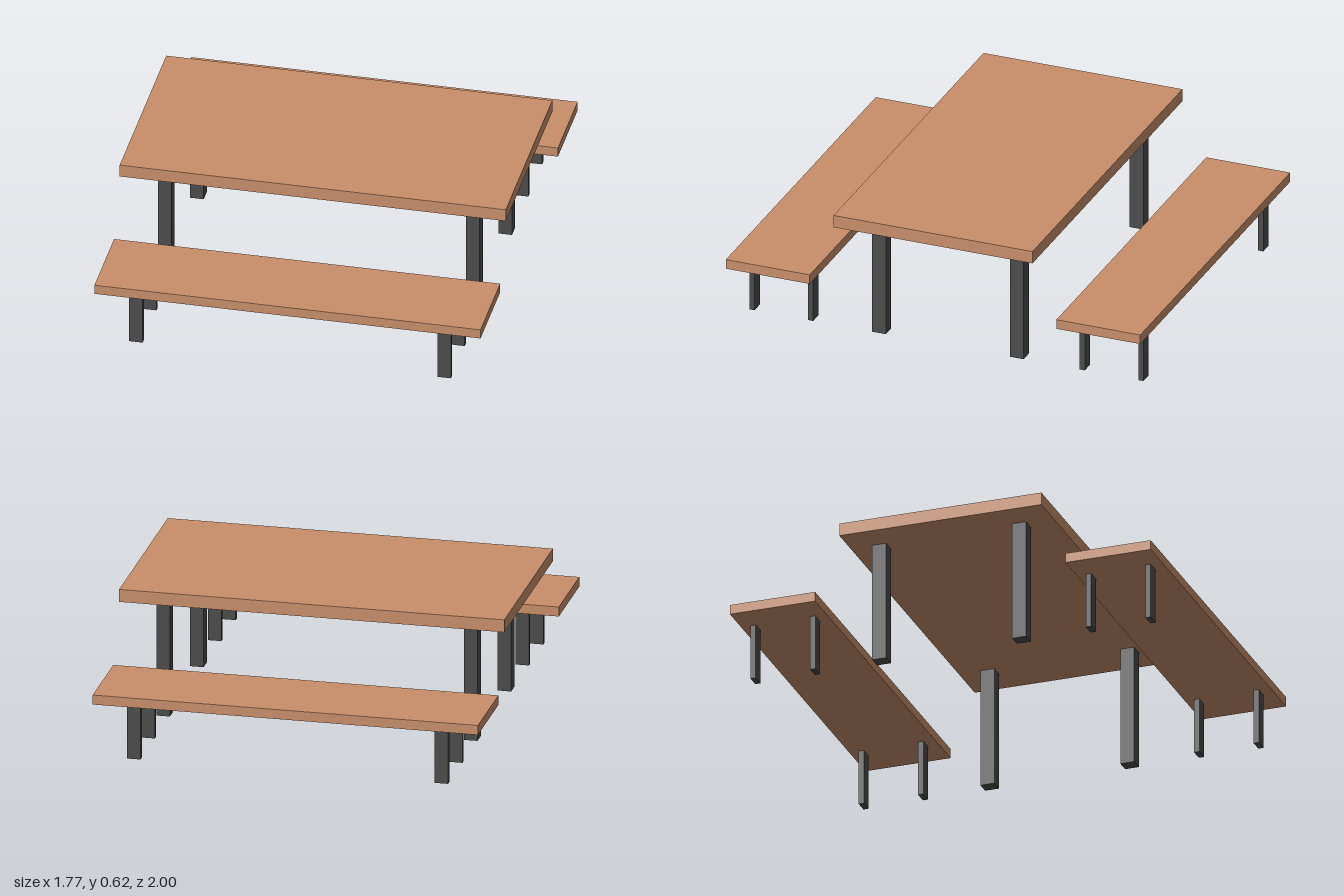
import * as THREE from 'three';

const wood = new THREE.MeshStandardMaterial({ color: 0xc98f6b });
const metal = new THREE.MeshStandardMaterial({ color: 0x4c4c4c });

// Box given by its extents: width, depth, bottom and top heights, centre x and z
function slab(name, material, w, d, y0, y1, x, z) {
  const mesh = new THREE.Mesh(new THREE.BoxGeometry(w, y1 - y0, d), material);
  mesh.name = name;
  mesh.position.set(x, (y0 + y1) / 2, z);
  return mesh;
}

// A plank top carried by a pair of legs at each z in legZ
function furniture(name, topName, { depth, z, y0, y1, legDepth, legZ }) {
  const group = new THREE.Group();
  group.name = name;
  group.add(slab(topName, wood, 1.766, depth, y0, y1, 0, z));
  for (const lz of legZ) {
    for (const side of [-1, 1]) {
      const legName = side > 0 ? 'leftLeg' : 'rightLeg';
      group.add(slab(legName, metal, 0.062, legDepth, 0, y0, side * 0.705, lz));
    }
  }
  return group;
}

export function createModel() {
  const model = new THREE.Group();
  model.name = 'picnicTable';

  // Table
  model.add(furniture('table', 'tableTop', {
    depth: 0.96, z: 0, y0: 0.564, y1: 0.623, legDepth: 0.066, legZ: [0.321, -0.344],
  }));

  // Benches, front and back
  const bench = { depth: 0.405, y0: 0.26, y1: 0.305, legDepth: 0.025 };
  model.add(furniture('frontBench', 'benchSeat', { ...bench, z: 0.7975, legZ: [0.934, 0.651] }));
  model.add(furniture('backBench', 'benchSeat', { ...bench, z: -0.7975, legZ: [-0.66, -0.943] }));

  return model;
}
